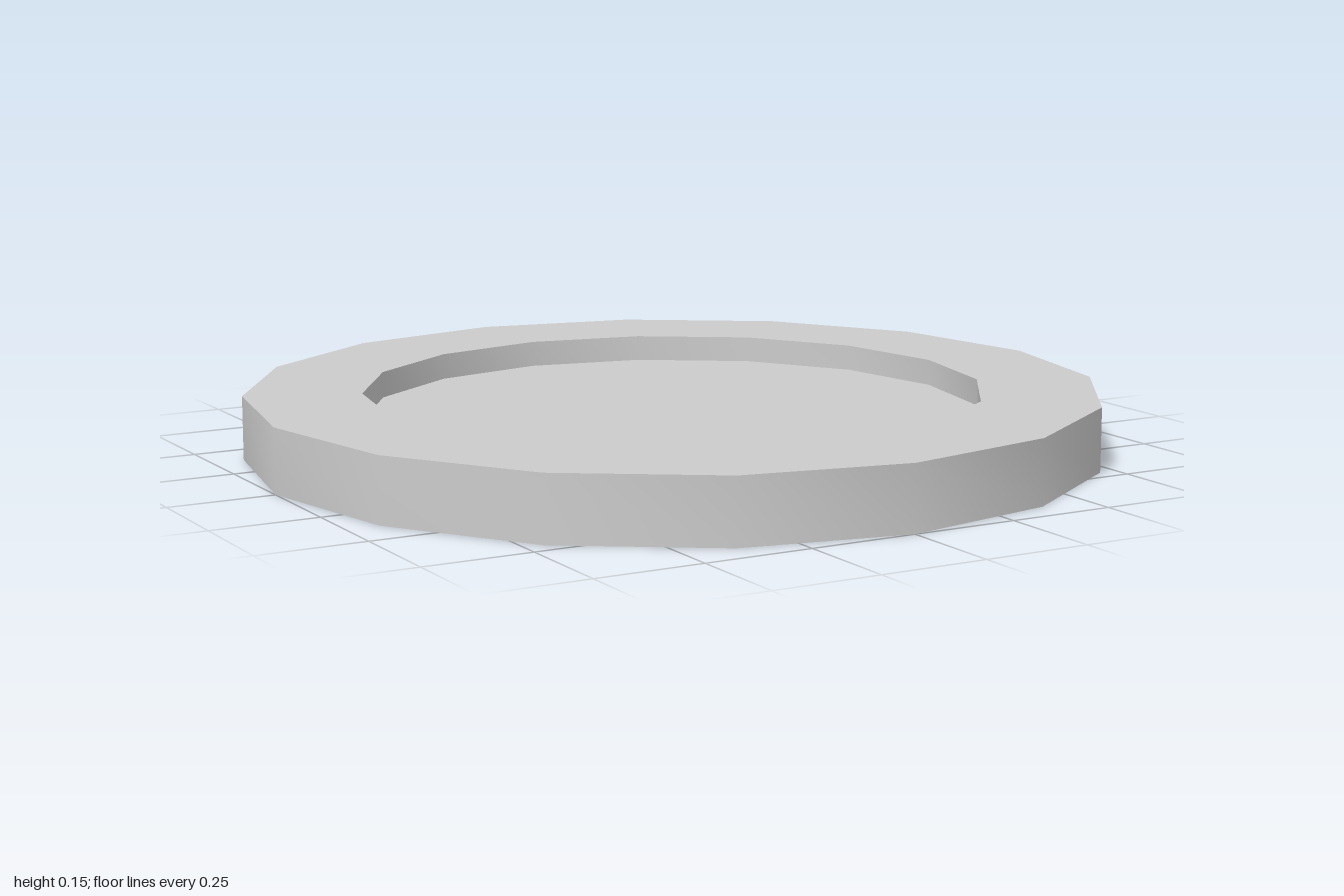
import * as THREE from 'three';
import { toCreasedNormals } from 'three/addons/utils/BufferGeometryUtils.js';

const SIDES = 16;
const OUTER = 1;
const INNER = 0.725;
const HEIGHT = 0.15;
const PANEL = 0.026;

export function createModel() {
  const group = new THREE.Group();
  group.name = 'recessedDisc';
  const material = new THREE.MeshStandardMaterial({ color: 0xcccccc });

  // Rim: rectangular section turned around y, smooth walls with sharp edges
  const section = [
    [INNER, 0], [OUTER, 0], [OUTER, HEIGHT], [INNER, HEIGHT], [INNER, 0],
  ].map(([x, y]) => new THREE.Vector2(x, y));
  const rim = new THREE.Mesh(
    toCreasedNormals(new THREE.LatheGeometry(section, SIDES), Math.PI / 6),
    material
  );
  rim.name = 'rim';

  // Thin panel at mid height, recessed from both faces of the rim
  const panel = new THREE.Mesh(
    new THREE.CylinderGeometry(INNER, INNER, PANEL, SIDES),
    material
  );
  panel.name = 'centrePanel';
  panel.position.y = HEIGHT / 2;

  group.add(rim, panel);
  return group;
}
